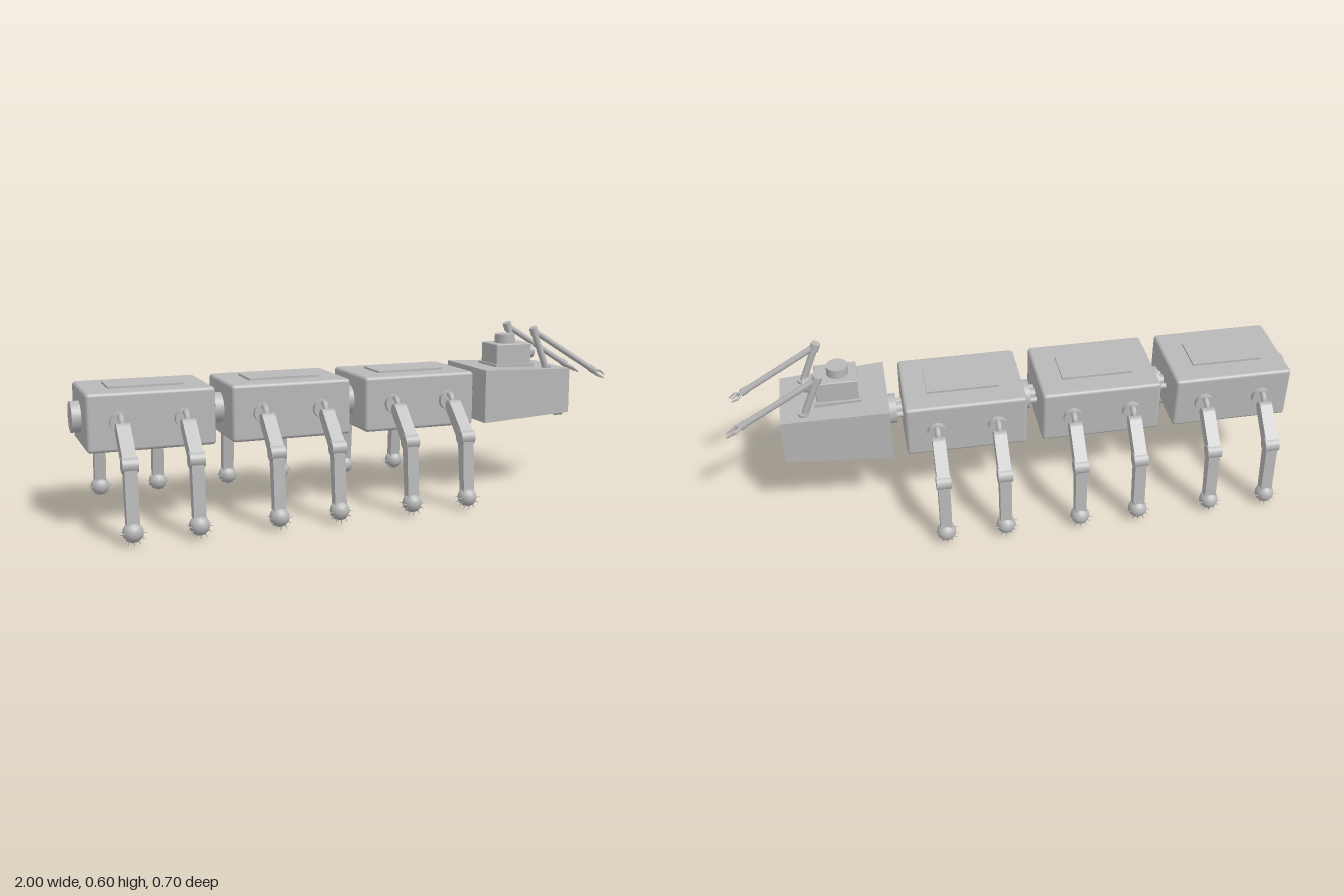
import * as THREE from 'three';
import { RoundedBoxGeometry } from 'three/addons/geometries/RoundedBoxGeometry.js';

const V = (x, y, z) => new THREE.Vector3(x, y, z);

export function createModel() {
  const model = new THREE.Group();
  model.name = 'walkingRobot';
  const grey = new THREE.MeshStandardMaterial({ color: 0xb8b8b8 });
  grey.name = 'lightGrey';

  function add(parent, name, geometry, x = 0, y = 0, z = 0) {
    const mesh = new THREE.Mesh(geometry, grey);
    mesh.name = name;
    mesh.position.set(x, y, z);
    parent.add(mesh);
    return mesh;
  }
  // Round rod or cone between two points
  function rod(parent, name, a, b, r0, r1 = r0, sides = 20) {
    const mesh = add(parent, name, new THREE.CylinderGeometry(r1, r0, a.distanceTo(b), sides));
    mesh.position.copy(a).lerp(b, 0.5);
    mesh.quaternion.setFromUnitVectors(V(0, 1, 0), b.clone().sub(a).normalize());
    return mesh;
  }
  // Flat link with rounded ends, drawn in the z-y plane and centred on x = 0
  function link(parent, name, z0, y0, r0, z1, y1, r1, thickness) {
    const t = Math.atan2(y1 - y0, z1 - z0), q = Math.PI / 2;
    const shape = new THREE.Shape();
    shape.absarc(z0, y0, r0, t + q, t + 3 * q, false);
    shape.absarc(z1, y1, r1, t - q, t + q, false);
    const g = new THREE.ExtrudeGeometry(shape, { depth: thickness, bevelEnabled: false, curveSegments: 10 });
    g.translate(0, 0, -thickness / 2).rotateY(-Math.PI / 2);
    return add(parent, name, g);
  }

  // One leg, s = +1 or -1 for the side
  function leg(x, s) {
    const g = new THREE.Group();
    g.name = s > 0 ? 'frontSideLeg' : 'backSideLeg';
    g.position.x = x;
    rod(g, 'hipDisc', V(0, 0.36, s * 0.145), V(0, 0.36, s * 0.17), 0.033, 0.033, 28);
    const arch = new THREE.CatmullRomCurve3([
      V(0, 0.381, s * 0.165), V(0, 0.382, s * 0.178), V(0, 0.372, s * 0.19), V(0, 0.35, s * 0.197)]);
    add(g, 'hipArch', new THREE.TubeGeometry(arch, 10, 0.01, 10));
    link(g, 'upperLeg', s * 0.205, 0.345, 0.021, s * 0.3, 0.252, 0.022, 0.044);
    rod(g, 'knee', V(-0.025, 0.252, s * 0.3), V(0.025, 0.252, s * 0.3), 0.025, 0.025, 24);
    link(g, 'lowerLeg', s * 0.3, 0.25, 0.02, s * 0.317, 0.055, 0.016, 0.04);
    add(g, 'footBall', new THREE.SphereGeometry(0.033, 20, 14), 0, 0.043, s * 0.318);
    // Two fans of grip spikes under the foot
    for (const dz of [-0.015, 0.015]) {
      for (let i = 0; i < 7; i++) {
        const a = Math.PI + (i / 6) * Math.PI, c = Math.cos(a), d = Math.sin(a);
        rod(g, 'footSpike', V(c * 0.026, 0.043 + d * 0.026, s * 0.318 + dz),
          V(c * 0.043, 0.043 + d * 0.043, s * 0.318 + dz), 0.0025, 0.0005, 6);
      }
    }
    model.add(g);
  }

  // Coupling disc behind a body box
  const disc = (x) => rod(model, 'couplingDisc', V(x - 0.03, 0.36, 0), V(x + 0.005, 0.36, 0), 0.052, 0.052, 32);

  // Three body segments with legs, hatch and couplings
  for (const cx of [-0.76, -0.285, 0.19]) {
    add(model, 'bodySegment', new RoundedBoxGeometry(0.42, 0.193, 0.306, 3, 0.012), cx, 0.3595, 0);
    add(model, 'topHatch', new THREE.BoxGeometry(0.25, 0.012, 0.136), cx, 0.457, 0);
    disc(cx - 0.21);
    for (const z of [-0.038, 0, 0.038])
      rod(model, 'couplingPin', V(cx + 0.2, 0.36, z), V(cx + 0.24, 0.36, z), z ? 0.011 : 0.02);
    for (const dx of [-0.105, 0.105]) for (const s of [1, -1]) leg(cx + dx, s);
  }
  disc(0.452);

  // Head: a box narrowing towards its nose
  const headGeo = new THREE.BoxGeometry(0.365, 0.193, 0.306);
  const p = headGeo.attributes.position;
  for (let i = 0; i < p.count; i++)
    if (p.getX(i) > 0) p.setXYZ(i, p.getX(i), p.getY(i) * 0.855, p.getZ(i) * 0.87);
  headGeo.computeVertexNormals();
  add(model, 'head', headGeo, 0.6325, 0.3595, 0);

  // Nose sensors and chin lamps
  add(model, 'noseSensor', new THREE.BoxGeometry(0.004, 0.028, 0.036), 0.815, 0.36, 0);
  add(model, 'chinBlock', new THREE.BoxGeometry(0.016, 0.02, 0.016), 0.5, 0.265, 0);
  for (const s of [1, -1]) {
    rod(model, 'eye', V(0.812, 0.36, s * 0.087), V(0.817, 0.36, s * 0.087), 0.013);
    rod(model, 'chinLamp', V(0.775, 0.278, s * 0.098), V(0.805, 0.278, s * 0.098), 0.016);
  }

  // Camera turret
  add(model, 'turretBase', new THREE.BoxGeometry(0.16, 0.018, 0.136), 0.618, 0.452, 0);
  add(model, 'turret', new RoundedBoxGeometry(0.145, 0.08, 0.118, 2, 0.004), 0.6175, 0.495, 0);
  rod(model, 'turretCap', V(0.61, 0.53, 0), V(0.61, 0.568, 0), 0.037, 0.037, 32);
  rod(model, 'lensBarrel', V(0.68, 0.498, 0), V(0.728, 0.498, 0), 0.026, 0.026, 28);
  rod(model, 'lens', V(0.726, 0.498, 0), V(0.731, 0.498, 0), 0.017, 0.017, 28);

  // Folding arms with grippers
  for (const s of [1, -1]) {
    const g = new THREE.Group();
    g.name = s > 0 ? 'leftArm' : 'rightArm';
    g.position.z = s * -0.098;
    const base = V(0.735, 0.44, 0), elbow = V(0.677, 0.586, 0), wrist = V(0.945, 0.424, 0);
    const dir = wrist.clone().sub(elbow).normalize();
    const up = V(-dir.y, dir.x, 0), side = V(0, 0, 1);
    const along = (d, u = 0, z = 0) =>
      wrist.clone().addScaledVector(dir, d).addScaledVector(up, u).addScaledVector(side, z);
    rod(g, 'armBase', V(0.735, 0.435, 0), V(0.735, 0.455, 0), 0.018);
    rod(g, 'upperArm', base, elbow, 0.012);
    rod(g, 'elbowCap', elbow.clone().addScaledVector(V(-0.35, 0.94, 0), -0.016),
      elbow.clone().addScaledVector(V(-0.35, 0.94, 0), 0.013), 0.016);
    rod(g, 'forearm', elbow, wrist, 0.011);
    rod(g, 'wristCuff', along(-0.02), along(0.003), 0.013);
    // The first hand has three fine fingers, the other a heavier pair of jaws
    if (s < 0) {
      for (let i = 0; i < 3; i++) {
        const a = Math.PI / 2 + (i * 2 * Math.PI) / 3, u = Math.sin(a), z = Math.cos(a);
        rod(g, 'finger', along(0), along(0.025, u * 0.013, z * 0.016), 0.004, 0.004, 8);
        rod(g, 'fingertip', along(0.025, u * 0.013, z * 0.016), along(0.052, u * 0.009, z * 0.01), 0.004, 0.002, 8);
      }
    } else {
      for (const k of [1, -1]) {
        rod(g, 'jaw', along(-0.004, 0, k * 0.004), along(0.022, 0, k * 0.015), 0.007, 0.007, 8);
        rod(g, 'jawTip', along(0.02, 0, k * 0.015), along(0.062, 0, k * 0.011), 0.007, 0.003, 8);
      }
    }
    model.add(g);
  }
  return model;
}
